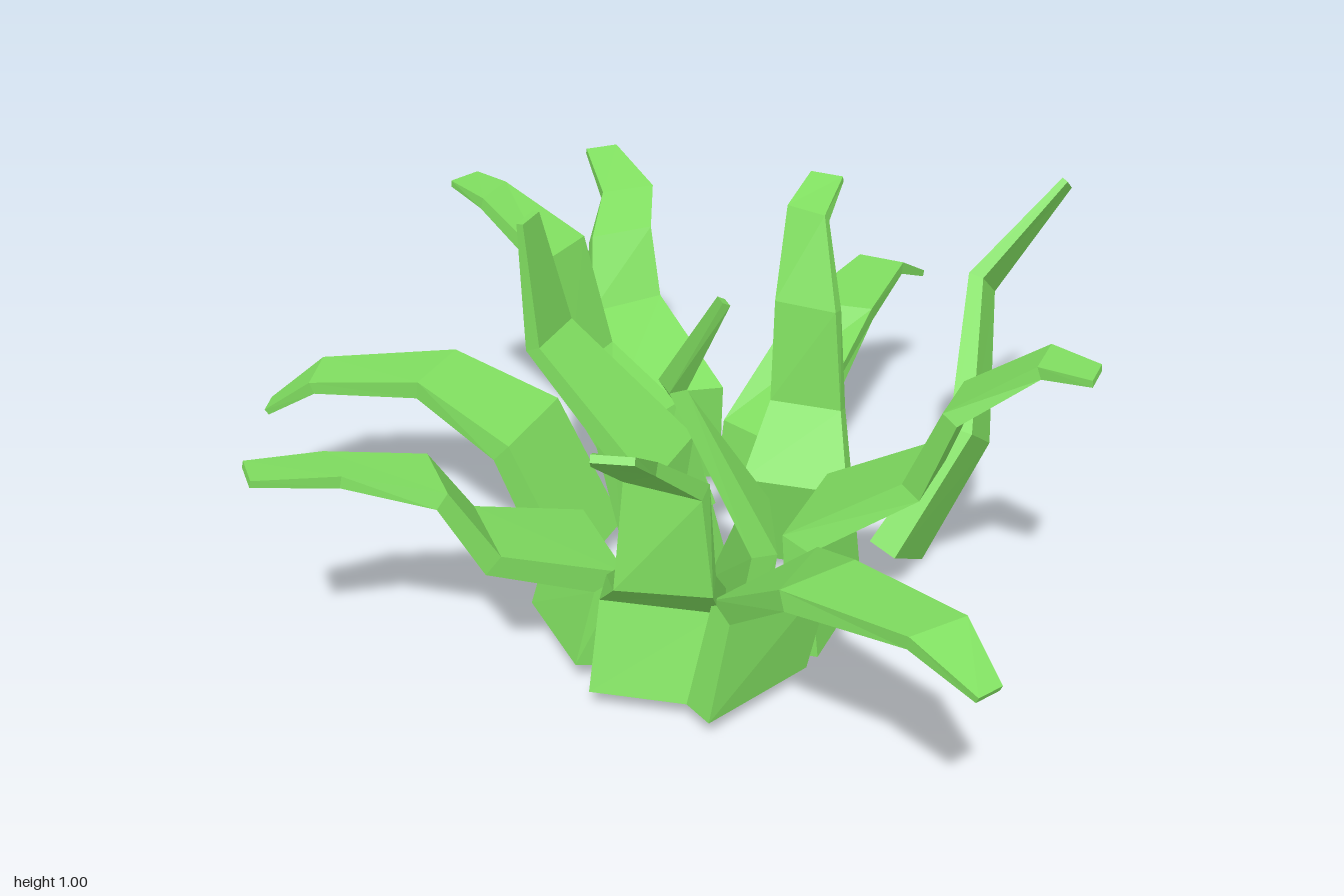
import * as THREE from 'three';

const material = new THREE.MeshStandardMaterial({ color: 0x80de60, flatShading: true });

// Leaf swept through sections [x, y, z, wx, wy, wz]: centre and half-width vector.
// Thickness tapers from base to tip, with mitred joints.
function leaf(name, sections) {
  const last = sections.length - 1;
  const centres = sections.map(s => new THREE.Vector3(s[0], s[1], s[2]));
  const directions = centres.slice(1).map((c, i) => c.clone().sub(centres[i]).normalize());
  const rings = sections.map((s, i) => {
    const before = directions[Math.max(i - 1, 0)];
    const after = directions[Math.min(i, last - 1)];
    const tangent = before.clone().add(after).normalize();
    const mitre = 1 / Math.max(tangent.dot(after), 0.75);
    const w = new THREE.Vector3(s[3], s[4], s[5]);
    const half = THREE.MathUtils.lerp(0.036, 0.008, i / last) * mitre;
    const n = tangent.cross(w).normalize().multiplyScalar(half);
    return [[1, 1], [-1, 1], [-1, -1], [1, -1]].map(([a, b]) =>
      centres[i].clone().addScaledVector(w, a).addScaledVector(n, b));
  });
  const positions = [];
  const quad = (a, b, c, d) => {
    for (const p of [a, b, c, a, c, d]) positions.push(p.x, p.y, p.z);
  };
  for (let i = 0; i < last; i++) {
    for (let k = 0; k < 4; k++) {
      const m = (k + 1) % 4;
      quad(rings[i][k], rings[i][m], rings[i + 1][m], rings[i + 1][k]);
    }
  }
  quad(...rings[0].slice().reverse());
  quad(...rings[last]);
  const geometry = new THREE.BufferGeometry();
  geometry.setAttribute('position', new THREE.Float32BufferAttribute(positions, 3));
  geometry.computeVertexNormals();
  const mesh = new THREE.Mesh(geometry, material);
  mesh.name = name;
  return mesh;
}

export function createModel() {
  const group = new THREE.Group();
  group.name = 'grassClump';

  // Back leaves
  group.add(leaf('backRightLeaf', [
    [-0.18, 0.05, -0.28, 0.11, 0, -0.075],
    [-0.165, 0.3, -0.265, 0.11, 0, -0.075],
    [-0.37, 0.42, -0.43, 0.06, 0, -0.08],
    [-0.42, 0.58, -0.52, 0.055, 0, -0.06],
    [-0.46, 0.64, -0.65, 0.05, 0, -0.048],
    [-0.59, 0.7, -0.76, 0.03, 0, -0.03],
  ]));
  group.add(leaf('backLeaf', [
    [0.1, 0.05, -0.27, 0.125, 0, 0.04],
    [0.09, 0.21, -0.3, 0.115, 0, 0.04],
    [0.18, 0.48, -0.53, 0.09, 0, -0.015],
    [0.2, 0.49, -0.81, 0.06, 0, 0],
    [0.24, 0.405, -0.97, 0.03, 0, 0],
  ]));
  group.add(leaf('backLeftLeaf', [
    [0.5, 0.09, -0.125, 0, -0.072, -0.115],
    [0.62, 0.365, -0.265, 0, -0.058, -0.085],
    [0.55, 0.635, -0.53, 0, -0.045, -0.06],
    [0.705, 0.875, -0.655, 0, -0.018, -0.026],
  ]));

  // Right-hand leaves
  group.add(leaf('rightLeaf', [
    [-0.07, 0.05, -0.06, -0.04, 0, 0.13],
    [-0.16, 0.31, -0.07, -0.03, 0, 0.12],
    [-0.31, 0.45, -0.085, -0.01, 0, 0.095],
    [-0.37, 0.73, -0.09, -0.01, 0, 0.08],
    [-0.55, 0.84, -0.1, 0, 0, 0.055],
    [-0.66, 0.84, -0.155, -0.015, 0, 0.038],
  ]));
  group.add(leaf('lowRightLeaf', [
    [-0.2, 0.06, 0.14, 0, 0, 0.13],
    [-0.35, 0.37, 0.145, 0, 0, 0.125],
    [-0.6, 0.455, 0.13, 0, 0, 0.09],
    [-0.87, 0.44, 0.23, 0.02, 0, 0.062],
    [-0.99, 0.35, 0.275, 0.01, 0, 0.03],
  ]));

  // Tall inner leaves
  group.add(leaf('innerRightLeaf', [
    [0.06, 0.05, 0.15, -0.02, 0, 0.14],
    [0.01, 0.37, 0.15, 0, 0, 0.12],
    [-0.26, 0.66, 0.18, 0, 0, 0.08],
    [-0.275, 0.97, 0.23, 0, 0, 0.038],
  ]));
  group.add(leaf('innerFrontLeaf', [
    [0.23, 0.05, 0.24, 0.085, 0, 0.135],
    [0.31, 0.35, 0.285, 0.05, 0, 0.1],
    [0.145, 0.73, 0.39, 0.038, 0.02, 0.055],
    [0.29, 0.99, 0.46, 0.02, 0.012, 0.033],
  ]));
  group.add(leaf('innerBackLeaf', [
    [0.25, 0.05, -0.08, 0.125, 0, -0.02],
    [0.275, 0.28, -0.03, 0.125, 0, -0.02],
    [0.255, 0.43, -0.14, 0.085, 0, -0.01],
    [0.24, 0.68, -0.16, 0.075, 0, 0],
    [0.2, 0.87, -0.25, 0.05, 0, 0.01],
    [0.2, 0.915, -0.37, 0.04, 0, 0],
  ]));

  // Front leaves
  group.add(leaf('frontRightLeaf', [
    [-0.09, 0.06, 0.46, 0.1, 0, 0.085],
    [-0.06, 0.26, 0.4, 0.1, 0, 0.095],
    [-0.21, 0.38, 0.62, 0.075, 0, 0.075],
    [-0.27, 0.56, 0.7, 0.06, 0, 0.06],
    [-0.45, 0.6, 0.8, 0.045, 0, 0.035],
    [-0.56, 0.64, 0.94, 0.03, 0, 0.03],
  ]));
  group.add(leaf('frontLeaf', [
    [0.18, 0.05, 0.57, 0.135, 0, -0.03],
    [0.17, 0.27, 0.5, 0.13, 0, -0.03],
    [0.235, 0.4, 0.63, 0.1, 0, -0.03],
    [0.235, 0.64, 0.62, 0.088, 0, 0],
    [0.22, 0.77, 0.78, 0.065, 0, -0.01],
    [0.28, 0.89, 0.95, 0.04, 0, -0.012],
  ]));
  group.add(leaf('frontLeftLeaf', [
    [0.36, 0.06, 0.47, 0.06, 0, -0.135],
    [0.41, 0.33, 0.45, 0.07, 0.01, -0.125],
    [0.58, 0.5, 0.64, 0.05, 0, -0.08],
    [0.86, 0.55, 0.76, 0.04, 0, -0.055],
    [0.985, 0.49, 0.825, 0.015, 0, -0.027],
  ]));

  // Left-hand leaf
  group.add(leaf('leftLeaf', [
    [0.43, 0.06, 0.17, 0, 0, 0.145],
    [0.4, 0.34, 0.16, 0, 0, 0.14],
    [0.63, 0.49, 0.13, 0, 0, 0.095],
    [0.71, 0.7, 0.17, 0, 0, 0.075],
    [0.87, 0.81, 0.115, 0, 0, 0.055],
    [0.985, 0.82, 0.15, 0, 0, 0.038],
  ]));

  return group;
}
